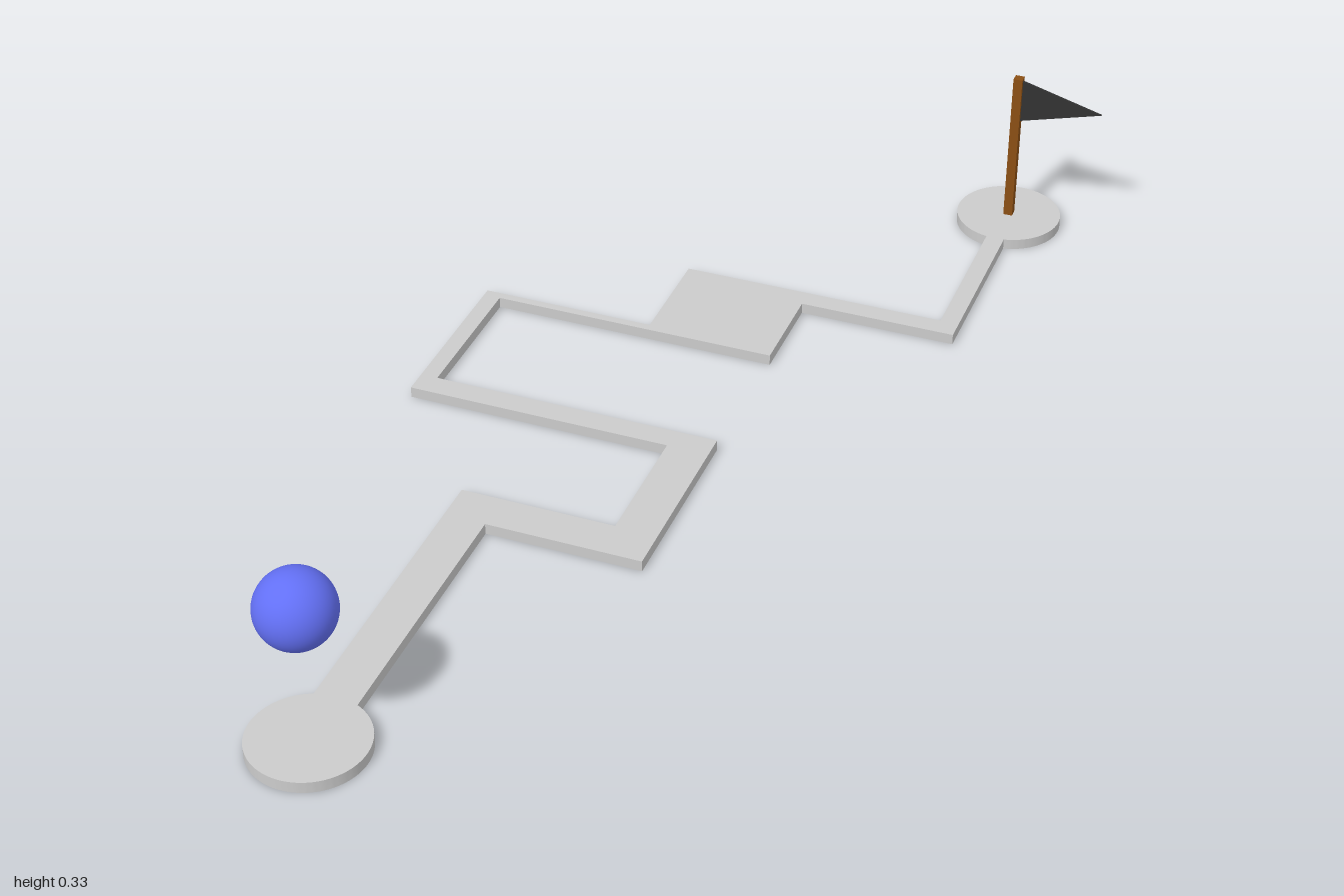
import * as THREE from 'three';
import { toCreasedNormals } from 'three/addons/utils/BufferGeometryUtils.js';

const THICK = 0.02;
const DISC_R = 0.098;
const START = { x: -0.253, z: 0.902 };
const GOAL = { x: 0.329, z: -0.902 };

export function createModel() {
  const group = new THREE.Group();
  const add = (name, geometry, color, x = 0, y = 0, z = 0) => {
    const mesh = new THREE.Mesh(geometry, new THREE.MeshStandardMaterial({ color }));
    mesh.name = name;
    mesh.position.set(x, y, z);
    group.add(mesh);
    return mesh;
  };

  // Winding path with a round pad at each end, drawn as one outline (shape y = -z)
  const outline = new THREE.Shape();
  const pad = ({ x, z }, armAngle, halfWidth) => {
    const a = Math.asin(halfWidth / DISC_R);
    outline.absarc(x, -z, DISC_R, armAngle - a, armAngle + a, true);
  };
  const lines = (points) => points.forEach(([x, z]) => outline.lineTo(x, -z));

  pad(START, Math.PI / 2, 0.037);
  lines([
    [-0.29, 0.267], [-0.015, 0.267], [-0.015, 0.03], [-0.495, 0.03],
    [-0.495, -0.3], [-0.175, -0.3], [-0.175, -0.5], [0.312, -0.5],
  ]);
  pad(GOAL, -Math.PI / 2, 0.017);
  lines([
    [0.346, -0.463], [0.06, -0.463], [0.06, -0.285], [-0.464, -0.285],
    [-0.464, -0.013], [0.06, -0.013], [0.06, 0.338], [-0.216, 0.338],
  ]);
  const track = new THREE.ExtrudeGeometry(outline, {
    depth: THICK, bevelEnabled: false, curveSegments: 48,
  }).rotateX(-Math.PI / 2);
  add('path', toCreasedNormals(track, 0.5), 0xcccccc);

  // Ball hovering above the starting pad
  add('ball', new THREE.SphereGeometry(0.064, 48, 32), 0x6370f5, START.x, 0.269, START.z);

  // Square flag pole on the goal pad
  const poleH = 0.294;
  add('flagPole', new THREE.BoxGeometry(0.017, poleH, 0.017), 0x8b4f14,
    GOAL.x, THICK + poleH / 2, GOAL.z);

  // Thin triangular pennant
  const pennant = new THREE.Shape([
    new THREE.Vector2(0.0085, 0.309),
    new THREE.Vector2(0.0085, 0.225),
    new THREE.Vector2(0.161, 0.267),
  ]);
  const flagT = 0.004;
  add('flag', new THREE.ExtrudeGeometry(pennant, { depth: flagT, bevelEnabled: false }),
    0x333333, GOAL.x, 0, GOAL.z - flagT / 2);

  return group;
}
